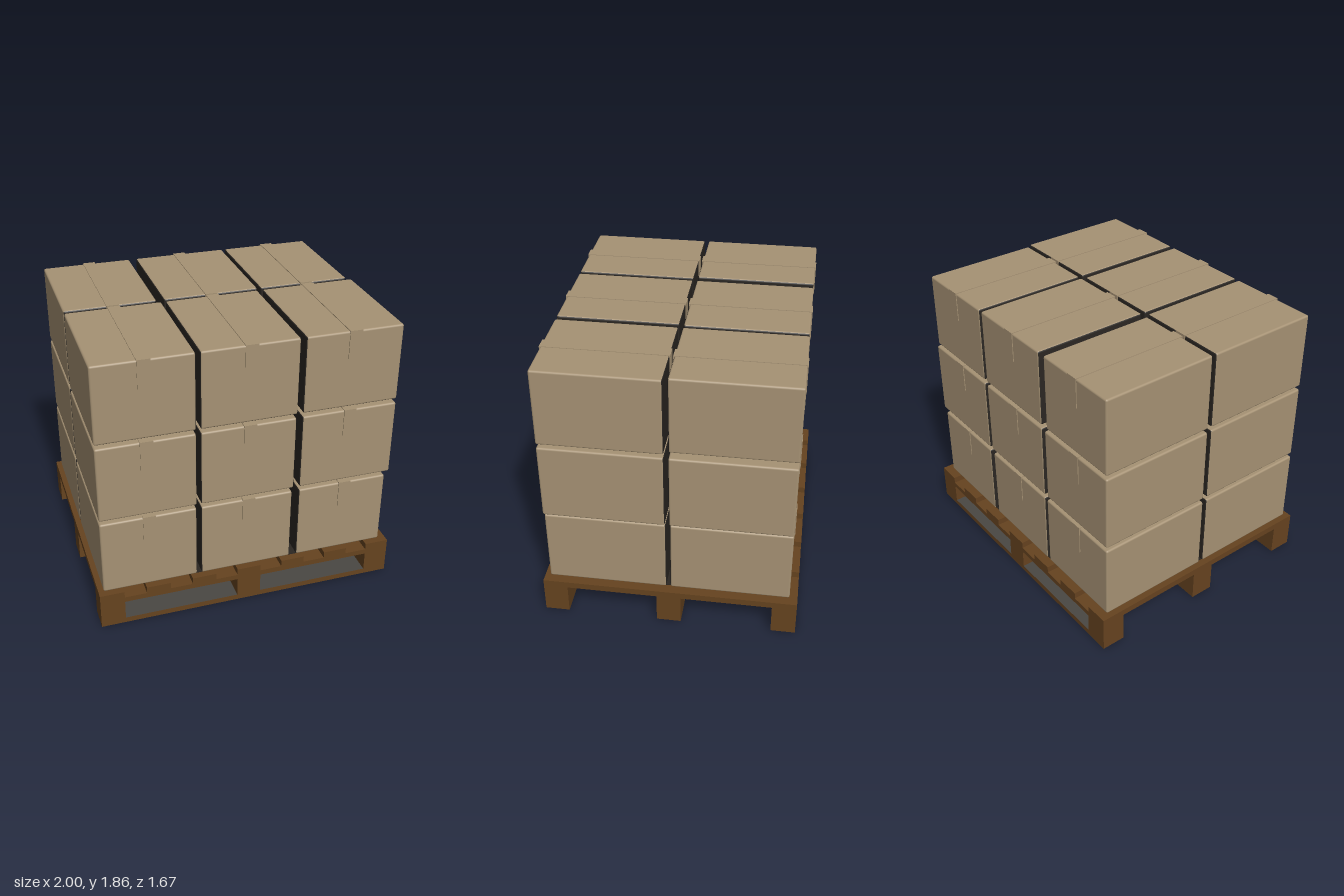
import * as THREE from 'three';
import { RoundedBoxGeometry } from 'three/addons/geometries/RoundedBoxGeometry.js';

function flatColor(name, color) {
  const material = new THREE.MeshStandardMaterial({ color });
  material.name = name;
  return material;
}

export function createModel() {
  const model = new THREE.Group();
  model.name = 'loadedPallet';
  const wood = flatColor('palletWood', 0x66431f);
  const greyWood = flatColor('greyWood', 0x4a4743);
  const cardboard = flatColor('cardboard', 0xa69274);
  const dark = flatColor('darkCardboard', 0x2b2723);

  // Adds a block given by its lower and upper corners;
  // a material array runs +x, -x, +y, -y, +z, -z
  function block(parent, name, min, max, material, radius = 0) {
    const s = max.map((v, i) => v - min[i]);
    const geometry = radius
      ? new RoundedBoxGeometry(s[0], s[1], s[2], 2, radius)
      : new THREE.BoxGeometry(s[0], s[1], s[2]);
    const mesh = new THREE.Mesh(geometry, material);
    mesh.name = name;
    mesh.position.set(...min.map((v, i) => (v + max[i]) / 2));
    parent.add(mesh);
  }

  // Pallet: three runners with blocks, topped by seven deck boards
  const pallet = new THREE.Group();
  pallet.name = 'pallet';
  model.add(pallet);
  const half = 0.08;
  const depth = 0.835;
  const runner = [wood, wood, greyWood, wood, wood, wood];
  for (const z of [-depth + half, 0, depth - half]) {
    block(pallet, 'bottomBoard', [-1, 0, z - half], [1, 0.037, z + half], runner);
    for (const x of [-1 + half, 0, 1 - half]) {
      block(pallet, 'spacerBlock', [x - half, 0.037, z - half], [x + half, 0.168, z + half], wood);
    }
    block(pallet, 'stringerBoard', [-1, 0.168, z - half], [1, 0.204, z + half], wood);
  }
  for (let i = -3; i <= 3; i++) {
    const x = i * (1 - half) / 3;
    block(pallet, 'deckBoard', [x - half, 0.204, -depth], [x + half, 0.248, depth], wood);
  }

  // Dark sheet between the deck and the cartons
  block(model, 'slipSheet', [-0.95, 0.248, -0.77], [0.93, 0.253, 0.785], dark);

  // Carton with dark inner faces and a tape strip over the top and down both ends
  function carton(column, row, x1, y) {
    const box = new THREE.Group();
    box.name = 'carton';
    model.add(box);
    const x0 = left[column];
    const [z0, z1] = spans[row];
    const top = y + 0.516;
    const t = 0.005;
    const a = tape[column] - 0.041;
    const b = tape[column] + 0.041;
    const sides = [
      column < 2 ? dark : cardboard, column > 0 ? dark : cardboard,
      cardboard, dark,
      row === 0 ? dark : cardboard, row === 1 ? dark : cardboard,
    ];
    block(box, 'cartonBody', [x0, y, z0], [x1, top, z1], sides, 0.013);
    block(box, 'topTape', [a, top - 0.002, z0 - t], [b, top + 0.004, z1 + t], cardboard);
    block(box, 'frontTape', [a, top - 0.193, z1 - 0.002], [b, top - 0.002, z1 + t], cardboard);
    block(box, 'backTape', [a, top - 0.193, z0 - t], [b, top - 0.002, z0 + 0.002], cardboard);
  }

  // Slightly uneven right edges, per layer: back row, then front row
  const left = [-0.967, -0.315, 0.343];
  const tape = [-0.652, 0, 0.66];
  const spans = [[-0.783, -0.006], [0.021, 0.799]];
  const layers = [
    { y: 0.252, rows: [[-0.335, 0.305, 0.948], [-0.345, 0.295, 0.948]] },
    { y: 0.793, rows: [[-0.343, 0.32, 0.977], [-0.343, 0.303, 0.977]] },
    { y: 1.335, rows: [[-0.365, 0.32, 0.952], [-0.343, 0.307, 0.977]] },
  ];
  for (const { y, rows } of layers) {
    rows.forEach((edges, row) => edges.forEach((right, column) => {
      carton(column, row, right, y);
    }));
  }
  return model;
}
